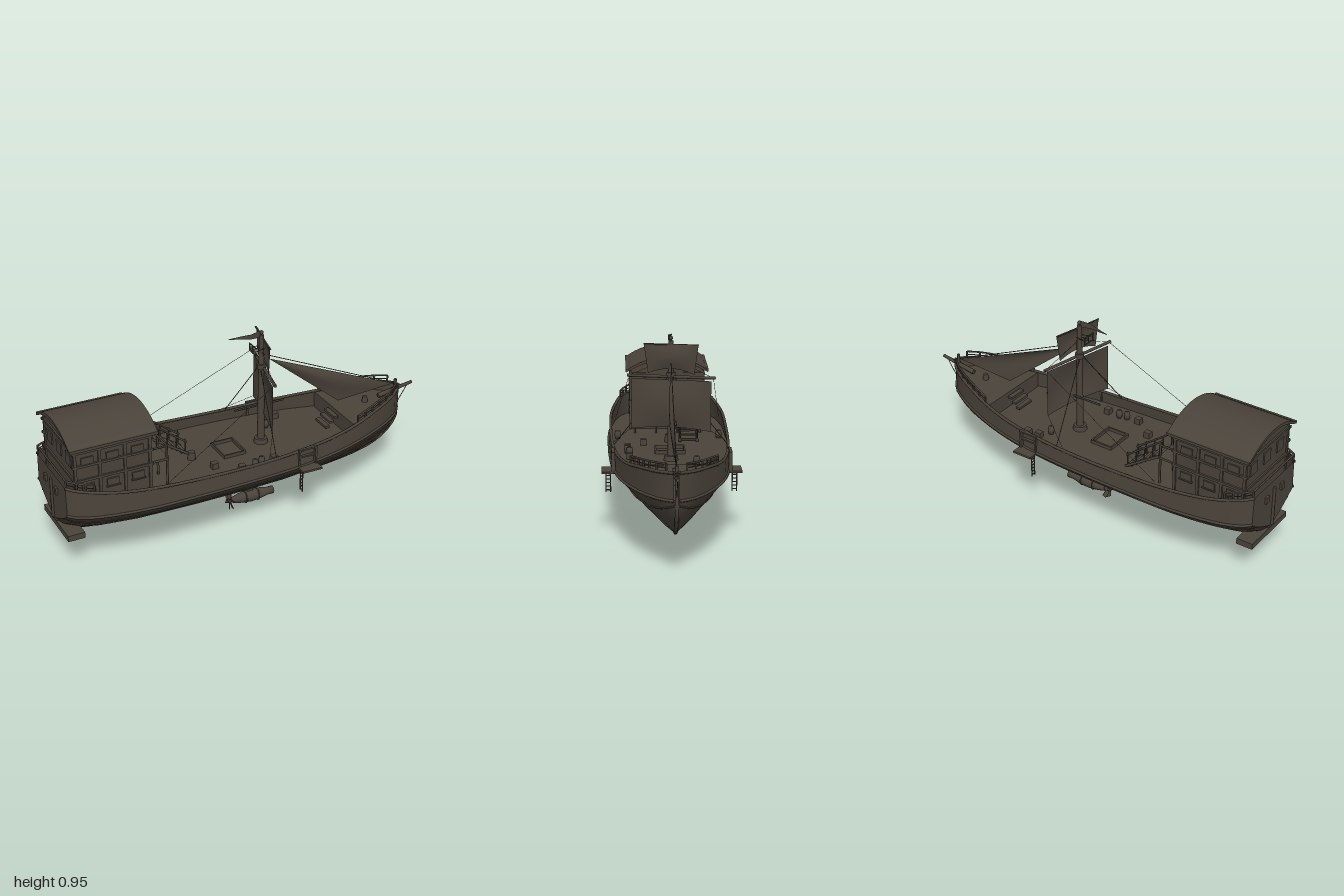
import * as THREE from 'three';

const wood = new THREE.MeshStandardMaterial({ color: 0x4a433a, side: THREE.DoubleSide });
wood.name = 'darkWeatheredWood';
const V = (x, y, z) => new THREE.Vector3(x, y, z);

// Hull lines by station: position, half width, sheer height, keel height
const X = [-0.98, -0.95, -0.88, -0.78, -0.6, -0.3, 0, 0.2, 0.4, 0.55, 0.68, 0.78, 0.86, 0.91];
const W = [0.19, 0.22, 0.255, 0.28, 0.303, 0.305, 0.295, 0.28, 0.25, 0.212, 0.165, 0.12, 0.07, 0.012];
const S = [0.47, 0.465, 0.455, 0.44, 0.425, 0.41, 0.405, 0.41, 0.42, 0.435, 0.455, 0.468, 0.478, 0.485];
const B = [0.22, 0.18, 0.14, 0.12, 0.105, 0.098, 0.098, 0.102, 0.115, 0.13, 0.15, 0.18, 0.23, 0.3];
const at = (table, x) => {
  let i = 0;
  while (i < X.length - 2 && x > X[i + 1]) i++;
  return THREE.MathUtils.lerp(table[i], table[i + 1], (x - X[i]) / (X[i + 1] - X[i]));
};
const waleY = (x) => 0.32 + 0.04 * Math.max(0, x) ** 2;

export function createModel() {
  const ship = new THREE.Group();
  ship.name = 'sailingShip';

  const add = (name, geo, x = 0, y = 0, z = 0, parent = ship) => {
    const m = new THREE.Mesh(geo, wood);
    m.name = name;
    m.position.set(x, y, z);
    parent.add(m);
    return m;
  };
  const box = (name, x, y, z, w, h, d) => add(name, new THREE.BoxGeometry(w, h, d), x, y, z);
  const bar = (name, a, b, r, r2 = r, sides = 6) => {
    const m = add(name, new THREE.CylinderGeometry(r2, r, a.distanceTo(b), sides));
    m.position.copy(a).add(b).multiplyScalar(0.5);
    m.quaternion.setFromUnitVectors(V(0, 1, 0), b.clone().sub(a).normalize());
    return m;
  };
  const tube = (name, pts, r) =>
    add(name, new THREE.TubeGeometry(new THREE.CatmullRomCurve3(pts), pts.length * 3, r, 6));
  // Surface through rows of points
  const loft = (name, rows) => {
    const n = rows[0].length, index = [];
    for (let i = 0; i < rows.length - 1; i++) for (let j = 0; j < n - 1; j++) {
      const a = i * n + j;
      index.push(a, a + 1, a + n, a + 1, a + n + 1, a + n);
    }
    const g = new THREE.BufferGeometry().setFromPoints(rows.flat());
    g.setIndex(index);
    g.computeVertexNormals();
    return add(name, g);
  };

  // Underbody, bulwarks, transom
  const T = [0, 0.12, 0.3, 0.5, 0.7, 0.85, 0.95, 1];
  const half = (x) => T.map((t) => {
    const y0 = waleY(x);
    return V(x, y0 + (at(B, x) - y0) * t, at(W, x) * Math.pow(1 - t, 0.75));
  });
  const flip = (p) => V(p.x, p.y, -p.z);
  loft('underbody', X.map((x) => {
    const h = half(x);
    return [...h, ...h.slice(0, -1).reverse().map(flip)];
  }));
  const sternHalf = [V(-0.98, 0.47, 0.185), ...half(-0.98)];
  loft('transom', sternHalf.map((p) => [p, flip(p)]));
  for (const s of [1, -1]) {
    const row = (x) => [V(x, at(S, x), s * at(W, x) * 0.97), V(x, waleY(x), s * at(W, x))];
    loft('bulwark', X.map((x) => (s > 0 ? row(x) : row(x).reverse())));
    tube('wale', X.map((x) => V(x, waleY(x) + 0.005, s * at(W, x))), 0.007);
    tube('lowerStrake', X.map((x) => half(x)[2].setZ(s * half(x)[2].z)), 0.004);
    tube('capRail', X.map((x) => V(x, at(S, x), s * at(W, x) * 0.965)), 0.008);
  }
  tube('keel', [...X.map((x) => V(x, at(B, x), 0)), V(0.912, 0.38, 0), V(0.912, 0.485, 0)], 0.009);
  bar('sternPost', V(-0.982, 0.22, 0), V(-0.982, 0.43, 0), 0.009);
  box('sternRudderPlate', -0.93, 0.18, 0, 0.085, 0.03, 0.32);
  for (const z of [-0.07, 0.07]) box('sternFitting', -0.985, 0.4, z, 0.012, 0.035, 0.025);

  // Decks
  const deck = (name, xs, y) => loft(name, xs.map((x) => [V(x, y, -at(W, x) * 0.975), V(x, y, at(W, x) * 0.975)]));
  deck('mainDeck', X.filter((x) => x < 0.56), 0.345);
  deck('foreDeck', X.filter((x) => x > 0.54), 0.428);
  box('foreBulkhead', 0.545, 0.387, 0, 0.01, 0.085, 0.41);
  for (let i = 0; i < 3; i++) box('foreStep', 0.475 + i * 0.024, 0.362 + i * 0.022, 0, 0.024, 0.012, 0.1);

  // Post-and-bar railings at bow and stern
  for (const s of [1, -1]) for (const [a, b, n] of [[0.56, 0.88, 7], [-0.975, -0.86, 4]]) {
    const pts = [];
    for (let i = 0; i < n; i++) {
      const x = a + (b - a) * i / (n - 1), y = at(S, x), z = s * at(W, x) * 0.95;
      bar('railPost', V(x, y, z), V(x, y + 0.038, z), 0.005);
      pts.push(V(x, y + 0.038, z));
    }
    tube('handRail', pts, 0.005);
    tube('midRail', pts.map((p) => V(p.x, p.y - 0.018, p.z)), 0.003);
  }
  bar('sternHandRail', V(-0.975, 0.507, -0.185), V(-0.975, 0.507, 0.185), 0.005);
  bar('bowsprit', V(0.8, 0.442, 0), V(1, 0.476, 0), 0.013, 0.008, 8);
  bar('bowPost', V(0.9, 0.45, 0), V(0.9, 0.515, 0), 0.008);
  bar('bobstay', V(0.975, 0.468, 0), V(0.912, 0.37, 0), 0.002);

  // Cabin with arched gables
  const arch = (w, y0, top, edge) => {
    const s = new THREE.Shape(), n = 16;
    const R = (w * w + (top - edge) ** 2) / (2 * (top - edge));
    s.moveTo(-w, y0);
    for (let i = 0; i <= n; i++) {
      const z = -w + 2 * w * i / n;
      s.lineTo(z, top - R + Math.sqrt(R * R - z * z));
    }
    s.lineTo(w, y0);
    return s;
  };
  const alongX = (shape, len) =>
    new THREE.ExtrudeGeometry(shape, { depth: len, bevelEnabled: false }).rotateY(Math.PI / 2);
  add('cabinWalls', alongX(arch(0.19, 0.345, 0.722, 0.66), 0.37), -0.93);
  const roof = arch(0.215, 0.655, 0.735, 0.664);
  const inner = arch(0.207, 0.655, 0.72, 0.655).getPoints().slice(1, -1).reverse();
  inner.forEach((p) => roof.lineTo(p.x, p.y));
  add('cabinRoof', alongX(roof, 0.435), -0.96);
  for (const s of [1, -1]) {
    box('eave', -0.742, 0.665, s * 0.212, 0.435, 0.012, 0.012);
    for (const y of [0.495, 0.57, 0.642]) box('wallBeam', -0.745, y, s * 0.193, 0.4, 0.012, 0.012);
    for (const x of [-0.93, -0.81, -0.685, -0.56]) box('wallPost', x, 0.5, s * 0.192, 0.014, 0.31, 0.012);
    for (const x of [-0.87, -0.747, -0.622]) for (const y of [0.455, 0.595]) {
      box('windowPanel', x, y, s * 0.193, 0.06, 0.035, 0.008);
      box('windowSill', x, y - 0.021, s * 0.196, 0.07, 0.006, 0.012);
    }
  }
  for (const x of [-0.932, -0.558]) {
    for (const y of [0.495, 0.642]) box('endBeam', x, y, 0, 0.012, 0.012, 0.39);
    for (const z of [-0.12, 0, 0.12]) box('endPanel', x, 0.58, z, 0.008, 0.06, 0.06);
  }

  // Balcony and stairs
  box('balconyFloor', -0.51, 0.49, 0, 0.1, 0.012, 0.36);
  for (const z of [-0.17, -0.05, 0.06, 0.17]) {
    bar('balconySupport', V(-0.465, 0.345, z), V(-0.465, 0.555, z), 0.006);
  }
  bar('balconyRail', V(-0.465, 0.555, -0.05), V(-0.465, 0.555, 0.17), 0.005);
  for (const z of [-0.17, 0.17]) bar('balconySideRail', V(-0.56, 0.555, z), V(-0.465, 0.555, z), 0.005);
  for (let i = 0; i < 8; i++) box('stairTread', -0.45 + i * 0.025, 0.48 - i * 0.018, -0.1, 0.026, 0.007, 0.08);
  for (const z of [-0.145, -0.058]) {
    bar('stairStringer', V(-0.465, 0.485, z), V(-0.255, 0.345, z), 0.007);
    bar('stairRail', V(-0.465, 0.565, z), V(-0.26, 0.41, z), 0.005);
    for (let i = 0; i < 5; i++) {
      const x = -0.455 + i * 0.047, y = 0.478 - i * 0.031;
      bar('stairBaluster', V(x, y, z), V(x, y + 0.075, z), 0.0035);
    }
  }

  // Deck fittings: hatch, barrels, crates
  for (const s of [1, -1]) {
    box('hatchSide', -0.06, 0.353, s * 0.072, 0.12, 0.018, 0.008);
    box('hatchEnd', -0.06 + s * 0.057, 0.353, 0, 0.008, 0.018, 0.145);
  }
  const barrel = new THREE.LatheGeometry([[0, 0], [0.013, 0], [0.017, 0.02], [0.013, 0.04], [0, 0.04]]
    .map((p) => new THREE.Vector2(...p)), 10);
  for (const [x, z] of [[-0.02, 0.21], [0.02, 0.2], [0.21, -0.12], [0.4, 0.2], [-0.34, 0.26], [-0.34, -0.26]])
    add('barrel', barrel, x, 0.345, z);
  for (const [x, z] of [[0.24, -0.18], [0.3, -0.19], [0.09, 0.2], [0.44, 0.185], [-0.2, 0.13], [-0.09, 0.21]])
    box('crate', x, 0.36, z, 0.032, 0.03, 0.03);
  add('capstan', new THREE.CylinderGeometry(0.018, 0.022, 0.04, 8), -0.26, 0.365, 0);
  add('bowCapstan', new THREE.CylinderGeometry(0.012, 0.016, 0.03, 8), 0.72, 0.443, 0);

  // Boarding platforms, gates and ladders
  for (const s of [1, -1]) {
    box('boardingPlatform', 0.23, 0.323, s * 0.3, 0.105, 0.01, 0.07);
    for (const x of [0.185, 0.275]) box('gatePost', x, 0.37, s * 0.278, 0.01, 0.1, 0.018);
    for (const y of [0.38, 0.418]) box('gateBar', 0.23, y, s * 0.28, 0.1, 0.008, 0.014);
    for (const z of [0.293, 0.315]) bar('ladderRail', V(0.185, 0.205, s * z), V(0.185, 0.322, s * z), 0.003);
    for (let i = 0; i < 6; i++) box('ladderRung', 0.185, 0.215 + i * 0.018, s * 0.304, 0.005, 0.004, 0.022);
  }

  // Mast, spars and sails
  bar('mast', V(0.12, 0.345, 0), V(0.12, 0.93, 0), 0.019, 0.012, 12);
  add('mastCap', new THREE.SphereGeometry(0.01, 10, 8), 0.12, 0.943, 0);
  add('mastCollar', new THREE.CylinderGeometry(0.022, 0.022, 0.025, 12), 0.12, 0.765, 0);
  add('mastFoot', new THREE.CylinderGeometry(0.032, 0.036, 0.025, 12), 0.12, 0.357, 0);
  bar('boom', V(-0.015, 0.54, -0.02), V(0.255, 0.54, -0.02), 0.005);
  bar('mainYard', V(0.085, 0.757, 0.21), V(0.175, 0.757, -0.21), 0.008);
  bar('topYard', V(0.1, 0.912, 0.13), V(0.155, 0.912, -0.13), 0.004);
  const squareSail = (name, y0, y1, wBottom, wTop, yaw, belly, sag) => {
    const rows = [];
    for (let i = 0; i <= 8; i++) {
      const v = i / 8, w = THREE.MathUtils.lerp(wBottom, wTop, v), row = [];
      for (let j = 0; j <= 10; j++) {
        const u = j / 5 - 1;
        row.push(V(0.13 - u * w * yaw + belly * Math.sin(Math.PI * v) * (1 - u * u),
          THREE.MathUtils.lerp(y0 + sag * (1 - u * u), y1, v), u * w));
      }
      rows.push(row);
    }
    loft(name, rows);
  };
  squareSail('mainSail', 0.495, 0.742, 0.19, 0.19, 0.24, 0.02, 0.015);
  squareSail('topSail', 0.77, 0.915, 0.11, 0.13, 0.24, 0.015, 0.025);
  for (const y of [0.847, 0.885]) bar('topFrameBar', V(0.07, y, -0.03), V(0.07, y, 0.045), 0.003);
  for (const z of [-0.025, 0.005, 0.04]) {
    bar('topFramePost', V(0.07, 0.845, z), V(0.07, 0.887, z), 0.003);
    bar('topFrameBracket', V(0.07, 0.866, z), V(0.13, 0.866, z * 0.5), 0.002);
  }

  // Jib between masthead, foredeck and bow
  const head = V(0.16, 0.795, 0), clew = V(0.56, 0.47, 0), tack = V(0.89, 0.492, 0), jib = [];
  for (let i = 0; i <= 8; i++) {
    const v = i / 8, a = clew.clone().lerp(head, v), b = tack.clone().lerp(head, v), row = [];
    for (let j = 0; j <= 6; j++) {
      const p = a.clone().lerp(b, j / 6);
      p.z = 0.02 * Math.sin(Math.PI * j / 6) * Math.sin(Math.PI * v);
      row.push(p);
    }
    jib.push(row);
  }
  loft('jib', jib);
  bar('forestay', V(0.12, 0.83, 0), V(0.95, 0.468, 0), 0.002);
  loft('pennant', [0, 0.33, 0.66, 1].map((t) => [
    V(0.115 - 0.165 * t, 0.955 - 0.018 * t, 0.012 * Math.sin(t * 5)),
    V(0.115 - 0.165 * t, 0.918 + 0.016 * t, 0.012 * Math.sin(t * 5))]));

  // Rigging
  for (const s of [1, -1]) {
    const tip = V(0.13 - s * 0.045, 0.757, s * 0.2);
    bar('yardLift', V(0.12, 0.85, 0), tip, 0.001);
    bar('yardBrace', tip, V(-0.5, 0.42, s * 0.27), 0.001);
    bar('sailSheet', V(0.13 - s * 0.045, 0.5, s * 0.19), V(0.02, 0.41, s * 0.28), 0.001);
    bar('shroud', V(0.11, 0.76, s * 0.01), V(0.06, 0.41, s * 0.275), 0.002);
  }

  // Underwater propulsion pod
  const pod = new THREE.Group();
  pod.name = 'propulsionPod';
  pod.position.set(0.06, 0.047, 0);
  ship.add(pod);
  const profile = [[0, -0.115], [0.012, -0.11], [0.025, -0.06], [0.032, 0], [0.029, 0.05], [0.02, 0.095], [0.02, 0.13], [0, 0.13]];
  add('podBody', new THREE.LatheGeometry(profile.map((p) => new THREE.Vector2(...p)), 12).rotateZ(-Math.PI / 2), 0, 0, 0, pod);
  for (const x of [-0.03, 0.04]) add('podBand', new THREE.TorusGeometry(0.031, 0.003, 6, 16).rotateY(Math.PI / 2), x, 0, 0, pod);
  for (let i = 0; i < 6; i++) {
    const blade = new THREE.BoxGeometry(0.004, 0.034, 0.022).rotateY(0.6).translate(0, 0.028, 0).rotateX(i * Math.PI / 3);
    add('propellerBlade', blade, -0.115, 0, 0, pod);
  }
  add('propellerHub', new THREE.CylinderGeometry(0.011, 0.011, 0.02, 8).rotateZ(Math.PI / 2), -0.115, 0, 0, pod);
  add('podStrut', new THREE.BoxGeometry(0.03, 0.04, 0.01), 0, 0.042, 0, pod);

  return ship;
}
